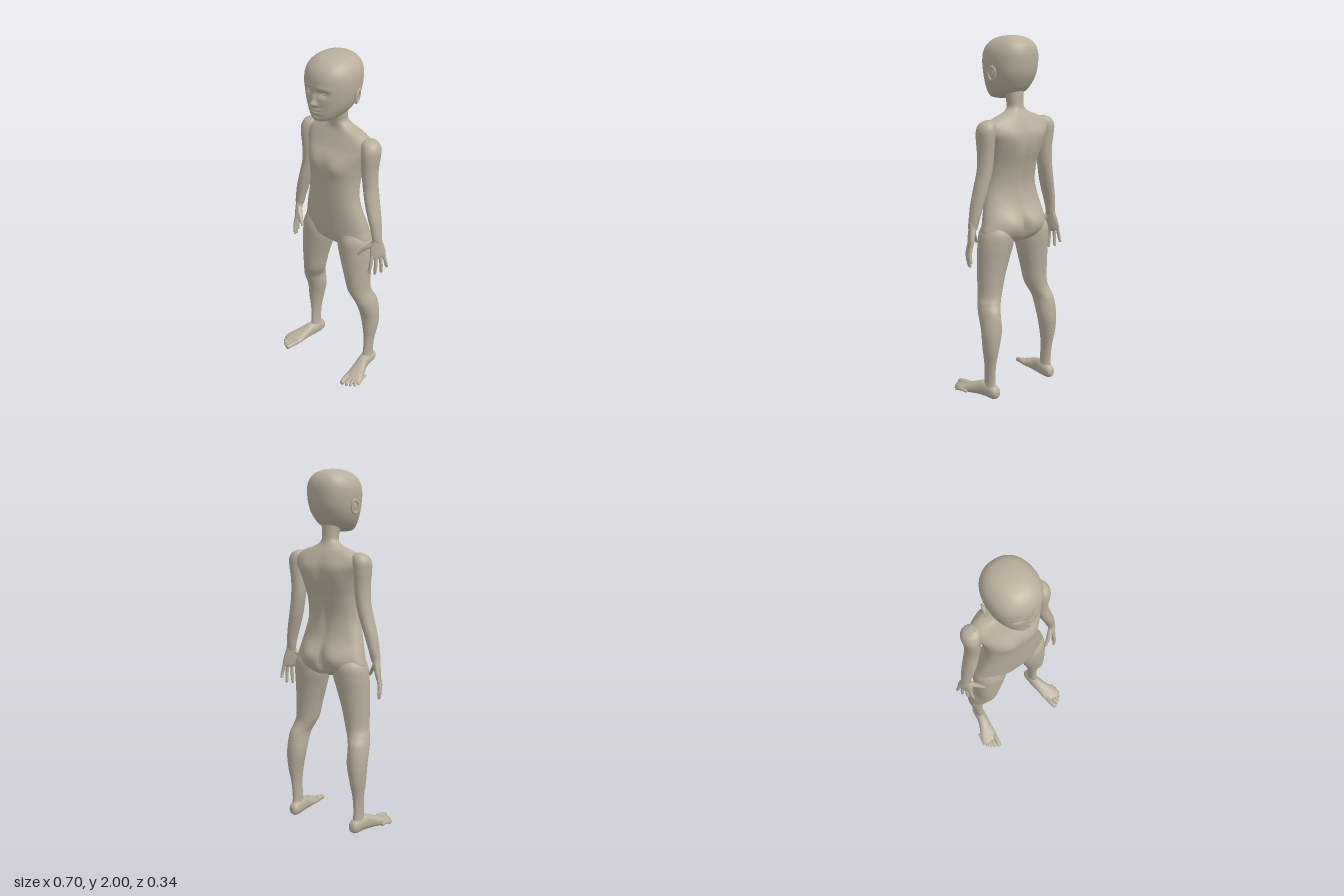
import * as THREE from 'three';

const skin = new THREE.MeshStandardMaterial({ color: 0xb8ae9b });
skin.name = 'clay';

const bell = (d, s) => Math.exp(-(d * d) / (s * s));

// Recomputes smooth normals and makes all faces point outwards.
function finish(geo) {
  const p = geo.attributes.position, ix = geo.index.array;
  const a = new THREE.Vector3(), b = new THREE.Vector3(), c = new THREE.Vector3();
  geo.computeBoundingBox();
  const mid = geo.boundingBox.getCenter(new THREE.Vector3());
  let volume = 0;
  for (let i = 0; i < ix.length; i += 3) {
    a.fromBufferAttribute(p, ix[i]).sub(mid);
    b.fromBufferAttribute(p, ix[i + 1]).sub(mid);
    c.fromBufferAttribute(p, ix[i + 2]).sub(mid);
    volume += a.dot(b.cross(c));
  }
  if (volume < 0) {
    for (let i = 0; i < ix.length; i += 3) [ix[i], ix[i + 1]] = [ix[i + 1], ix[i]];
  }
  geo.computeVertexNormals();
  return geo;
}

// Smooth curve through rows of numbers.
function smoothRows(rows, steps) {
  const out = [], at = i => rows[Math.max(0, Math.min(rows.length - 1, i))];
  for (let i = 0; i < rows.length - 1; i++) {
    for (let s = 0; s < steps; s++) {
      const t = s / steps, [p, q, r, w] = [at(i - 1), at(i), at(i + 1), at(i + 2)];
      out.push(q.map((v, k) => v + 0.5 * t * (r[k] - p[k]
        + t * (2 * p[k] - 5 * v + 4 * r[k] - w[k] + t * (3 * (v - r[k]) + w[k] - p[k])))));
    }
  }
  out.push(at(rows.length - 1));
  return out;
}

// Closed skin over oval sections [x, y, z, r1, r2]; rings lie flat, or upright for axis 'z'.
function loft(rows, { axis = 'y', segs = 32, steps = 6, power = 2, shape = null } = {}) {
  const rings = smoothRows(rows, steps), pos = [], idx = [], n = rings.length;
  const round = v => Math.sign(v) * Math.pow(Math.abs(v), 2 / power);
  for (const [x, y, z, r1, r2] of rings) {
    for (let j = 0; j < segs; j++) {
      const a = (j / segs) * Math.PI * 2, u = round(Math.cos(a)) * r1, v = round(Math.sin(a)) * r2;
      pos.push(x + u, axis === 'y' ? y : y + v, axis === 'y' ? z + v : z);
    }
  }
  for (let i = 0; i < n - 1; i++) {
    for (let j = 0; j < segs; j++) {
      const k = (j + 1) % segs, a = i * segs + j, b = i * segs + k;
      idx.push(a, a + segs, b, b, a + segs, b + segs);
    }
  }
  pos.push(...rings[0].slice(0, 3), ...rings[n - 1].slice(0, 3));
  for (let j = 0; j < segs; j++) {
    const k = (j + 1) % segs, e = (n - 1) * segs;
    idx.push(n * segs, j, k, n * segs + 1, e + k, e + j);
  }
  if (shape) {
    for (let i = 0; i < pos.length; i += 3) {
      [pos[i], pos[i + 1], pos[i + 2]] = shape(pos[i], pos[i + 1], pos[i + 2]);
    }
  }
  const geo = new THREE.BufferGeometry();
  geo.setAttribute('position', new THREE.Float32BufferAttribute(pos, 3));
  geo.setIndex(idx);
  return finish(geo);
}

// Rounded finger or toe through three points.
function digit(a, b, c, r, axis) {
  const d = c.map((v, i) => v + (v - b[i]) * 0.12);
  return loft([[...a, r, r], [...b, r, r], [...c, r * 0.85, r * 0.85], [...d, r * 0.35, r * 0.35]],
    { axis, segs: 14, steps: 5 });
}

export function createModel() {
  const model = new THREE.Group();
  model.name = 'figure';
  const add = (name, geo) => {
    const mesh = new THREE.Mesh(geo, skin);
    mesh.name = name;
    model.add(mesh);
  };
  const pair = (name, geo) => {
    add('left' + name, geo);
    add('right' + name, finish(geo.clone().scale(-1, 1, 1)));
  };

  // Head, with the face pressed into the front
  const face = (x, y, z) => {
    const ax = Math.abs(x), front = THREE.MathUtils.smoothstep(z, 0.03, 0.09);
    const dz = 0.023 * bell(x, 0.016) * bell(y - 1.772, 0.015)
      + 0.012 * bell(x, 0.012) * bell(y - 1.80, 0.024)
      + 0.007 * bell(ax - 0.017, 0.009) * bell(y - 1.768, 0.009)
      - 0.015 * bell(ax - 0.05, 0.026) * bell(y - 1.83, 0.016)
      + 0.004 * bell(ax - 0.05, 0.035) * bell(y - 1.858, 0.012)
      + 0.012 * bell(x, 0.032) * bell(y - 1.731, 0.018)
      - 0.009 * bell(x, 0.034) * bell(y - 1.731, 0.004)
      - 0.004 * bell(x, 0.03) * bell(y - 1.708, 0.008)
      + 0.005 * bell(x, 0.03) * bell(y - 1.688, 0.012);
    return [x, y, z + dz * front];
  };
  add('head', loft([
    [0, 1.664, 0.055, 0.02, 0.035], [0, 1.67, 0.05, 0.045, 0.064], [0, 1.685, 0.034, 0.07, 0.088],
    [0, 1.71, 0.012, 0.093, 0.116], [0, 1.75, -0.003, 0.116, 0.132], [0, 1.8, -0.013, 0.131, 0.146],
    [0, 1.86, -0.017, 0.139, 0.152], [0, 1.91, -0.02, 0.136, 0.15], [0, 1.95, -0.024, 0.119, 0.134],
    [0, 1.98, -0.028, 0.088, 0.1], [0, 1.995, -0.03, 0.05, 0.056], [0, 2.0, -0.03, 0.015, 0.018],
  ], { segs: 144, steps: 10, power: 2.25, shape: face }));
  pair('Eye', finish(new THREE.SphereGeometry(1, 20, 14).scale(0.019, 0.0085, 0.01).translate(0.051, 1.829, 0.106)));

  // Ears: a thin bowl with a raised rim
  const place = geo => finish(geo.rotateX(-0.15).rotateZ(-0.12).rotateY(0.3).translate(0.141, 1.802, -0.032));
  pair('Ear', place(new THREE.SphereGeometry(1, 20, 14).scale(0.008, 0.034, 0.021)));
  pair('EarRim', place(new THREE.TorusGeometry(0.022, 0.006, 10, 28).rotateY(Math.PI / 2).scale(1, 1.55, 1).translate(0.006, 0, 0)));

  // Neck and torso
  const torso = (x, y, z) => {
    const ax = Math.abs(x);
    if (z > -0.03) {
      z += 0.01 * bell(ax - 0.08, 0.055) * bell(y - 1.4, 0.05);
    } else {
      z += 0.012 * bell(x, 0.025) * bell(y - 1.3, 0.2)
        - 0.026 * bell(ax - 0.085, 0.065) * bell(y - 0.985, 0.07)
        - 0.01 * bell(ax - 0.1, 0.05) * bell(y - 1.47, 0.07)
        + 0.035 * bell(x, 0.014) * bell(y - 0.94, 0.07);
    }
    return [x, y, z];
  };
  add('torso', loft([
    [0, 1.72, -0.05, 0.052, 0.05], [0, 1.66, -0.055, 0.047, 0.046], [0, 1.62, -0.06, 0.049, 0.045],
    [0, 1.592, -0.066, 0.09, 0.05], [0, 1.57, -0.07, 0.155, 0.06], [0, 1.535, -0.07, 0.208, 0.077],
    [0, 1.49, -0.066, 0.213, 0.097], [0, 1.44, -0.052, 0.19, 0.114], [0, 1.38, -0.04, 0.172, 0.116],
    [0, 1.3, -0.029, 0.16, 0.101], [0, 1.2, -0.022, 0.163, 0.088], [0, 1.1, -0.03, 0.188, 0.09],
    [0, 1.0, -0.047, 0.214, 0.1], [0, 0.94, -0.051, 0.226, 0.097], [0, 0.905, -0.05, 0.18, 0.083],
    [0, 0.882, -0.05, 0.09, 0.055], [0, 0.877, -0.05, 0.03, 0.02],
  ], { segs: 96, steps: 8, power: 2.15, shape: torso }));

  // Legs
  pair('Leg', loft([
    [0.115, 1.02, -0.045, 0.06, 0.06], [0.13, 0.95, -0.05, 0.096, 0.094], [0.136, 0.88, -0.048, 0.103, 0.096],
    [0.148, 0.8, -0.043, 0.093, 0.089], [0.163, 0.7, -0.04, 0.077, 0.081], [0.176, 0.6, -0.043, 0.065, 0.073],
    [0.193, 0.55, -0.056, 0.06, 0.07], [0.209, 0.5, -0.075, 0.055, 0.073], [0.215, 0.4, -0.1, 0.056, 0.061],
    [0.222, 0.3, -0.102, 0.043, 0.052], [0.222, 0.2, -0.096, 0.027, 0.04], [0.22, 0.1, -0.09, 0.024, 0.039],
    [0.22, 0.04, -0.095, 0.029, 0.044],
  ], { segs: 40 }));

  // Feet with flat soles, and toes
  const sole = (x, y, z) => [x, Math.max(y, 0), z];
  pair('Foot', loft([
    [0.215, 0.034, -0.153, 0.012, 0.014], [0.216, 0.037, -0.143, 0.025, 0.03], [0.217, 0.04, -0.12, 0.032, 0.041],
    [0.22, 0.044, -0.075, 0.034, 0.045], [0.228, 0.042, -0.03, 0.036, 0.043], [0.243, 0.032, 0.02, 0.045, 0.033],
    [0.257, 0.022, 0.07, 0.055, 0.023], [0.261, 0.018, 0.098, 0.053, 0.017], [0.258, 0.015, 0.118, 0.034, 0.011],
  ], { axis: 'z', segs: 32, power: 2.2, shape: sole }));
  [[0.222, 0.233, 0.165, 0.016], [0.248, 0.259, 0.154, 0.0105], [0.268, 0.279, 0.14, 0.01],
    [0.285, 0.297, 0.122, 0.0095], [0.3, 0.311, 0.1, 0.009]].forEach(([x0, x1, z, r], i) => {
    pair('Toe' + (i + 1), digit([x0, 0.02, z - 0.075], [(x0 + x1) / 2, 0.021, z - 0.035], [x1, r + 0.001, z], r, 'z'));
  });

  // Arms
  pair('Arm', loft([
    [0.2, 1.562, -0.07, 0.018, 0.02], [0.208, 1.545, -0.069, 0.043, 0.045], [0.217, 1.51, -0.067, 0.05, 0.058],
    [0.219, 1.46, -0.064, 0.046, 0.058], [0.217, 1.39, -0.062, 0.042, 0.052], [0.224, 1.3, -0.062, 0.039, 0.047],
    [0.246, 1.2, -0.055, 0.036, 0.047], [0.268, 1.12, -0.05, 0.033, 0.042], [0.285, 1.05, -0.048, 0.028, 0.035],
    [0.294, 1.0, -0.045, 0.026, 0.028], [0.297, 0.98, -0.045, 0.022, 0.024],
  ], { segs: 36 }));

  // Hands, turned so the thumbs point forward and inward
  const hand = (name, geo) => pair(name, finish(geo.rotateY(1.05).translate(0.295, 1.0, -0.045)));
  hand('Palm', loft([
    [0, 0.02, 0, 0.025, 0.022], [0, -0.015, 0.003, 0.029, 0.021], [-0.001, -0.05, 0.008, 0.04, 0.019],
    [0.002, -0.09, 0.014, 0.046, 0.016], [0.003, -0.118, 0.017, 0.042, 0.011], [0.003, -0.127, 0.018, 0.02, 0.005],
  ], { segs: 32, power: 2.3 }));
  [[-0.031, -0.05, -0.203], [-0.008, -0.014, -0.219], [0.015, 0.023, -0.213], [0.036, 0.055, -0.187]]
    .forEach(([x0, x1, y], i) => {
      hand('Finger' + (i + 1), digit([x0, -0.09, 0.014], [(x0 + x1) / 2, -0.15, 0.025], [x1, y, 0.022], 0.0098, 'y'));
    });
  hand('Thumb', loft([
    [-0.012, -0.02, 0.002, 0.016, 0.014], [-0.042, -0.05, -0.008, 0.02, 0.014], [-0.07, -0.077, -0.022, 0.014, 0.011],
    [-0.09, -0.107, -0.034, 0.01, 0.009], [-0.094, -0.117, -0.036, 0.004, 0.004],
  ], { segs: 18 }));

  return model;
}
